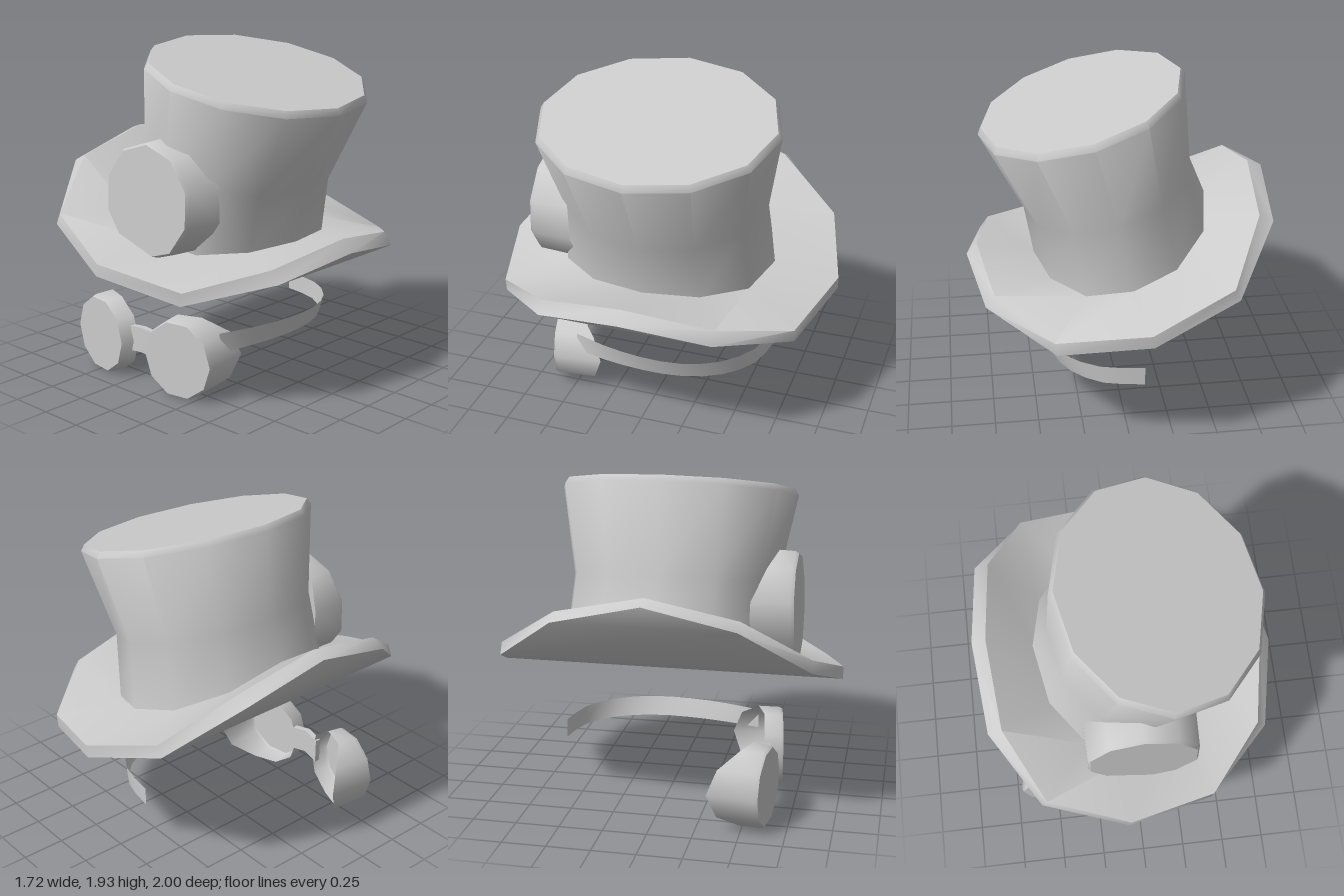
import * as THREE from 'three';
import { toCreasedNormals } from 'three/addons/utils/BufferGeometryUtils.js';

const material = new THREE.MeshStandardMaterial({ color: 0xcccccc });
const openMaterial = new THREE.MeshStandardMaterial({ color: 0xcccccc, side: THREE.DoubleSide });

function mesh(name, geometry, mat = material) {
  const m = new THREE.Mesh(geometry, mat);
  m.name = name;
  return m;
}

// Skins a list of equal-length rings of [x, y, z] points, skipping empty triangles.
function loft(rings, closed = true, crease = 0.85) {
  const positions = [];
  const n = rings[0].length;
  const key = (p) => p.map((v) => v.toFixed(4)).join();
  const triangle = (...pts) => {
    if (new Set(pts.map(key)).size === 3) positions.push(...pts.flat());
  };
  for (let k = 0; k < rings.length - 1; k++) {
    for (let i = 0; i < (closed ? n : n - 1); i++) {
      const j = (i + 1) % n;
      const a = rings[k][i], b = rings[k][j], c = rings[k + 1][j], d = rings[k + 1][i];
      triangle(a, d, b);
      triangle(b, d, c);
    }
  }
  const g = new THREE.BufferGeometry();
  g.setAttribute('position', new THREE.Float32BufferAttribute(positions, 3));
  return toCreasedNormals(g, crease);
}

const SIDES = 12;

// Horizontal ring of the hat, with z = rz * sin; half[] holds [x, y] from the left side to the right side.
function hatRing(half, rz) {
  return Array.from({ length: SIDES }, (_, i) => {
    const [x, y] = half[i <= 6 ? i : SIDES - i];
    return [x, y, rz * Math.sin((i / SIDES) * Math.PI * 2)];
  });
}

// Tilted elliptical ring of the crown.
function crownRing(cx, cy, rx, rz, slope = -0.265) {
  const half = [];
  for (let i = 0; i <= 6; i++) {
    const dx = rx * Math.cos((i / 6) * Math.PI);
    half.push([cx + dx, cy + slope * dx]);
  }
  return hatRing(half, rz);
}

function createHat() {
  const hat = new THREE.Group();
  hat.name = 'hat';

  const lower = hatRing([[0.86, 0.86], [0.77, 0.78], [0.41, 0.67], [-0.09, 0.76],
    [-0.57, 0.935], [-0.82, 1.21], [-0.86, 1.33]], 1);
  const upper = hatRing([[0.8, 0.93], [0.72, 0.85], [0.42, 0.745], [-0.08, 0.83],
    [-0.54, 1.0], [-0.74, 1.25], [-0.78, 1.36]], 1);
  const base = hatRing([[0.47, 0.85], [0.4, 0.84], [0.22, 0.84], [-0.03, 0.9],
    [-0.28, 0.97], [-0.47, 1.08], [-0.53, 1.18]], 0.635);

  // Curled brim with its closed underside
  hat.add(mesh('brim', loft([lower, upper, base])));
  const strips = [];
  for (let i = 0; i <= 6; i++) strips.push([lower[i], lower[(SIDES - i) % SIDES]]);
  hat.add(mesh('brimUnderside', loft(strips, false)));

  // Waisted crown with a small bevel at the top
  hat.add(mesh('crown', loft([
    base,
    crownRing(0.04, 1.27, 0.48, 0.6),
    crownRing(0.18, 1.755, 0.58, 0.695),
    crownRing(0.185, 1.79, 0.56, 0.672),
    crownRing(0.185, 1.79, 0, 0),
  ])));
  return hat;
}

// Ten-sided goggle cup: flat lens at the front, open shaped edge at the back.
function createCup(name, radius, depth, phase) {
  const ring = (r, zOf) => Array.from({ length: 10 }, (_, i) => {
    const a = (i / 10) * Math.PI * 2 + phase;
    return [r * Math.cos(a), r * Math.sin(a), zOf(a)];
  });
  const cup = new THREE.Group();
  cup.name = name;
  cup.add(mesh('lens', loft([ring(0, () => 0), ring(radius * 0.96, () => 0)]), openMaterial));
  cup.add(mesh('cup', loft([
    ring(radius * 0.96, () => 0),
    ring(radius, () => -0.02),
    ring(radius * 1.02, (a) => -depth(a)),
  ]), openMaterial));
  return cup;
}

function createGoggles() {
  const goggles = new THREE.Group();
  goggles.name = 'goggles';
  const middle = -0.168;

  // Two cups turned outward, deeper on the outer side
  for (const side of [1, -1]) {
    const depth = (a) => 0.11 + 0.18 * Math.max(0, side * Math.cos(a)) ** 1.5;
    const cup = createCup(side > 0 ? 'leftCup' : 'rightCup', 0.232, depth, 0);
    cup.position.set(middle + side * 0.318, 0.234, 0.637);
    cup.rotation.y = side * 0.15;
    goggles.add(cup);
  }

  // Bridge, arched upward and slightly forward
  const bridge = new THREE.BoxGeometry(0.22, 0.15, 0.035, 2, 1, 1);
  const p = bridge.attributes.position;
  for (let i = 0; i < p.count; i++) {
    if (Math.abs(p.getX(i)) < 0.01) p.setXYZ(i, 0, p.getY(i) + 0.018, p.getZ(i) + 0.015);
  }
  bridge.computeVertexNormals();
  const bridgeMesh = mesh('bridge', bridge);
  bridgeMesh.position.set(middle, 0.248, 0.575);
  goggles.add(bridgeMesh);

  // Strap curving round to the back, leaning outward at the top
  const path = new THREE.CatmullRomCurve3([
    [0.32, 0.47], [0.38, 0.27], [0.42, 0.02], [0.41, -0.22],
    [0.32, -0.43], [0.14, -0.58], [-0.1, -0.63],
  ].map(([x, z]) => new THREE.Vector3(x, 0, z)));
  const rows = path.getPoints(12).map((v, i) => {
    const t = i / 12;
    const lean = 0.02 * Math.sin(Math.PI * t);
    return [[v.x - lean, 0.275 + 0.015 * t, v.z], [v.x + lean, 0.39 + 0.008 * t, v.z]];
  });
  goggles.add(mesh('strap', loft(rows, false), openMaterial));
  return goggles;
}

export function createModel() {
  const model = new THREE.Group();
  model.name = 'topHatWithGoggles';
  model.add(createHat());

  // Large round ornament set into the front of the crown, cut shallow at the top
  const ornament = createCup('crownOrnament', 0.325,
    (a) => 0.25 - 0.14 * Math.max(0, Math.sin(a)) ** 2, Math.PI / 10);
  ornament.position.set(0.02, 1.14, 0.73);
  ornament.rotation.x = -0.03;
  model.add(ornament);

  model.add(createGoggles());
  return model;
}
